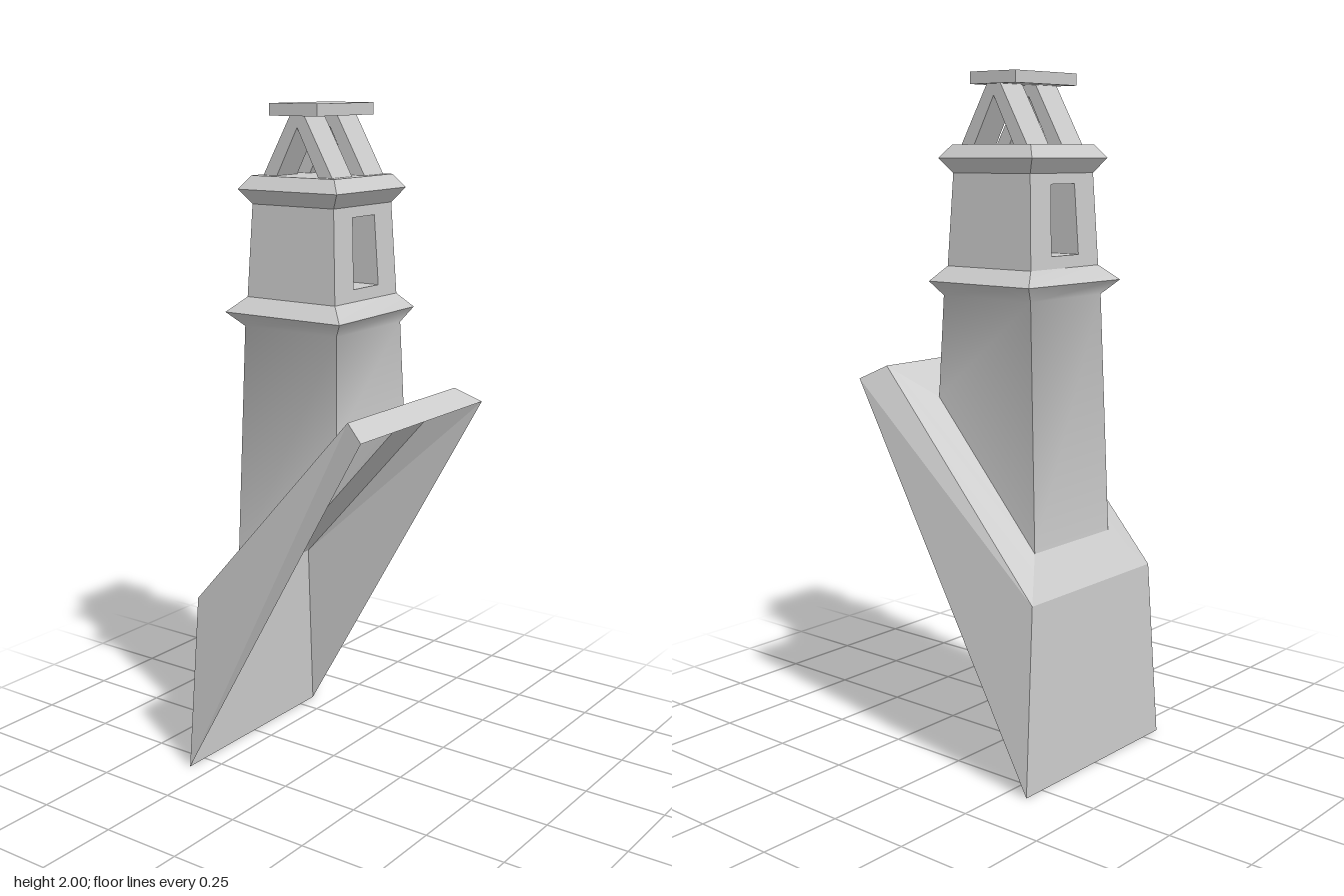
import * as THREE from 'three';
import { toCreasedNormals } from 'three/addons/utils/BufferGeometryUtils.js';

const material = new THREE.MeshStandardMaterial({ color: 0xcccccc, side: THREE.DoubleSide });

function mesh(name, geometry) {
  const m = new THREE.Mesh(geometry, material);
  m.name = name;
  return m;
}

// Four-cornered ring; its -x and +x edges may sit at different heights,
// and skew widens the front edge while narrowing the back one.
function ring(xl, xr, z, yl, yr = yl, skew = 0) {
  return [
    [xr + skew, yr, z], [xr - skew, yr, -z],
    [xl + skew, yl, -z], [xl - skew, yl, z],
  ];
}

// Skin between successive four-cornered rings, optionally only some sides.
function loft(rings, { sides = [0, 1, 2, 3], cap = false, crease = 0.9 } = {}) {
  const pos = [];
  const quad = (a, b, c, d) => pos.push(...a, ...b, ...c, ...a, ...c, ...d);
  for (let r = 0; r < rings.length - 1; r++) {
    for (const i of sides) {
      const j = (i + 1) % 4;
      quad(rings[r][i], rings[r][j], rings[r + 1][j], rings[r + 1][i]);
    }
  }
  if (cap) quad(...rings[rings.length - 1]);
  const g = new THREE.BufferGeometry();
  g.setAttribute('position', new THREE.Float32BufferAttribute(pos, 3));
  g.computeVertexNormals();
  return toCreasedNormals(g, crease);
}

export function createModel() {
  const model = new THREE.Group();
  model.name = 'chimneyTower';

  // Hollow sloping base, open underneath, with a hole below the tower
  const foot = ring(-0.228, 0.135, 0.175, 0.66, 1.072);
  model.add(mesh('slopingBase', loft([
    ring(-0.318, 0.318, 0.32, 0, 1.125),
    ring(-0.304, 0.246, 0.279, 0.545, 1.165),
    foot,
  ], { crease: 0.2 })));

  // Tapering shaft with its lower moulding
  const sill = ring(-0.195, 0.115, 0.155, 1.455);
  model.add(mesh('shaft', loft([
    foot,
    ring(-0.2, 0.125, 0.162, 1.37),
    ring(-0.233, 0.155, 0.201, 1.412, 1.412, 0.008),
    sill,
  ])));

  // Window storey: plain front and back walls
  const lintel = ring(-0.182, 0.102, 0.143, 1.72);
  model.add(mesh('storeyWalls', loft([sill, lintel], { sides: [1, 3] })));

  // Side walls joined by a window passage running through the storey
  const sideX = (s, y) => {
    const t = (y - 1.455) / (1.72 - 1.455);
    return s > 0 ? 0.115 - 0.013 * t : -0.195 + 0.013 * t;
  };
  const upright = (s, zLow, yLow, zHigh, yHigh) => [
    [sideX(s, yLow), yLow, zLow], [sideX(s, yLow), yLow, -zLow],
    [sideX(s, yHigh), yHigh, -zHigh], [sideX(s, yHigh), yHigh, zHigh],
  ];
  const wall = (s) => upright(s, 0.155, 1.455, 0.143, 1.72);
  const opening = (s) => upright(s, 0.062, 1.49, 0.054, 1.69);
  model.add(mesh('windowPassage', loft(
    [wall(1), opening(1), opening(-1), wall(-1)], { crease: 0.2 })));

  // Upper moulding and closed top
  model.add(mesh('crown', loft([
    lintel,
    ring(-0.212, 0.133, 0.172, 1.762),
    ring(-0.184, 0.104, 0.144, 1.8),
  ], { cap: true })));

  // Two A-frames of leaning legs
  const leg = new THREE.Shape([
    new THREE.Vector2(-0.12, 1.8), new THREE.Vector2(-0.072, 1.8),
    new THREE.Vector2(0.018, 1.968), new THREE.Vector2(-0.024, 1.968),
  ]);
  const legGeometry = new THREE.ExtrudeGeometry(leg, { depth: 0.095, bevelEnabled: false });
  for (const [z, x] of [[0.02, -0.043], [-0.125, -0.035]]) {
    const left = mesh('roofLeg', legGeometry);
    left.position.set(x, 0, z);
    const right = mesh('roofLeg', legGeometry);
    right.rotation.y = Math.PI;
    right.position.set(x, 0, z + 0.095);
    model.add(left, right);
  }

  // Flat roof slab
  const roof = mesh('roofSlab', new THREE.BoxGeometry(0.166, 0.034, 0.273));
  roof.position.set(-0.042, 1.983, -0.001);
  model.add(roof);

  return model;
}
